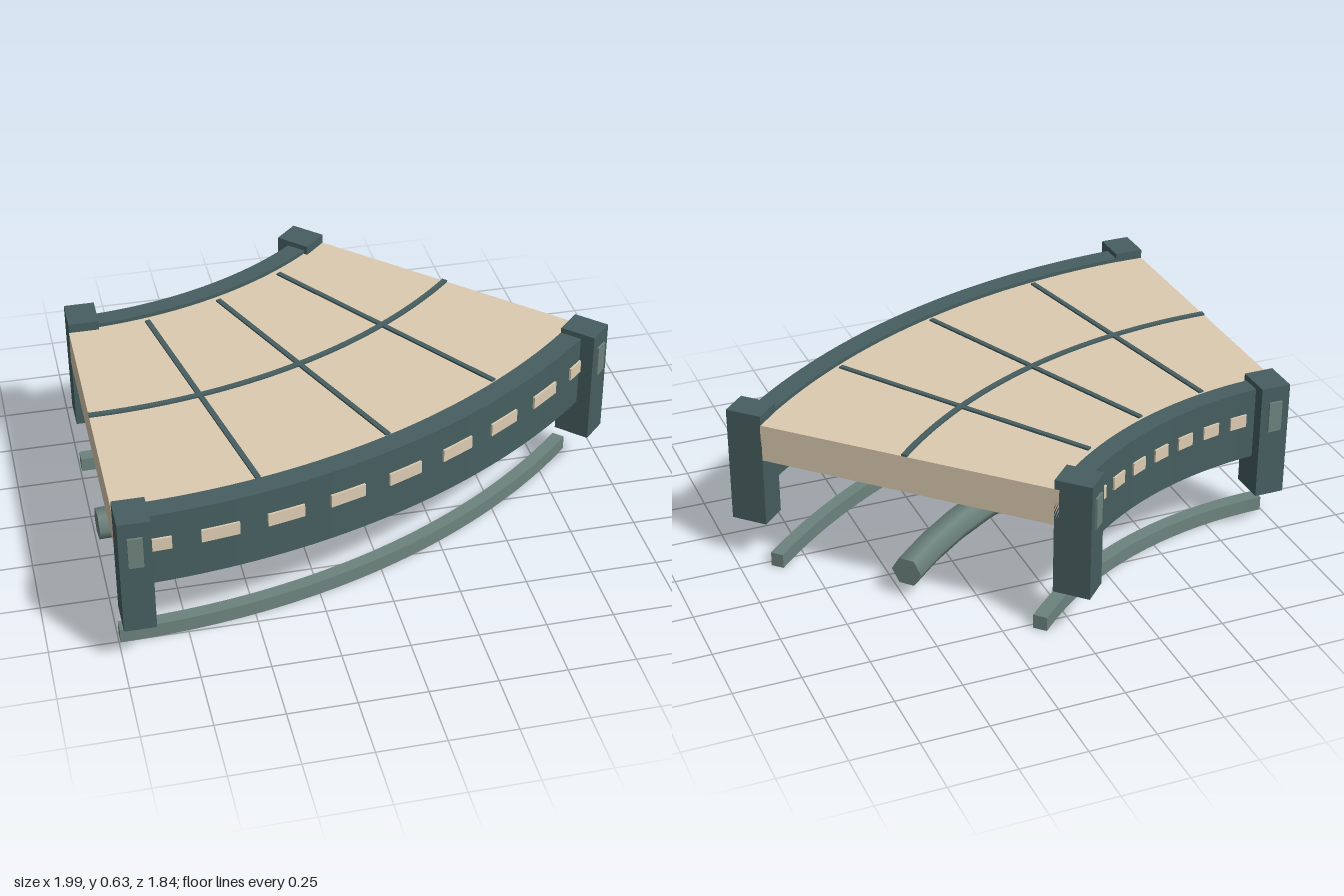
import * as THREE from 'three';

const SPAN = Math.PI / 4; // the walkway sweeps 45 degrees
const STEP = SPAN / 9;

export function createModel() {
  const model = new THREE.Group();
  model.name = 'curvedWalkway';
  // everything is laid out around the centre of the curve
  const curve = new THREE.Group();
  curve.name = 'curvedSection';
  curve.position.set(-0.995, 0, -1.906);
  model.add(curve);

  const mat = (name, color) => {
    const m = new THREE.MeshStandardMaterial({ color });
    m.name = name;
    return m;
  };
  const teal = mat('darkTeal', 0x465e60);
  const beige = mat('sandBeige', 0xdccbb1);
  const sage = mat('greyGreen', 0x6d837d);

  const add = (name, geometry, material, parent = curve) => {
    const mesh = new THREE.Mesh(geometry, material);
    mesh.name = name;
    parent.add(mesh);
    return mesh;
  };

  // bar of rectangular section swept along the curve
  const arcBar = (name, r0, r1, y0, y1, material, segments = 18) => {
    const a0 = -Math.PI / 2, a1 = a0 + SPAN;
    const shape = new THREE.Shape();
    shape.absarc(0, 0, r1, a0, a1, false);
    shape.absarc(0, 0, r0, a1, a0, true);
    const geo = new THREE.ExtrudeGeometry(shape, { depth: y1 - y0, bevelEnabled: false, curveSegments: segments });
    geo.rotateX(-Math.PI / 2);
    geo.translate(0, y0, 0);
    return add(name, geo, material);
  };

  // group turned so that its +z points outward at the given angle
  const spoke = (name, angle) => {
    const g = new THREE.Group();
    g.name = name;
    g.rotation.y = angle;
    curve.add(g);
    return g;
  };

  const box = (name, w, h, d, x, y, z, material, parent) => {
    add(name, new THREE.BoxGeometry(w, h, d), material, parent).position.set(x, y, z);
  };

  // deck and side rails
  arcBar('deck', 1.515, 2.682, 0.45, 0.595, beige);
  arcBar('outerRail', 2.676, 2.76, 0.325, 0.61, teal);
  arcBar('innerRail', 1.446, 1.521, 0.325, 0.61, teal);

  // seams on the deck
  arcBar('deckCurvedSeam', 2.091, 2.113, 0.594, 0.603, teal);
  for (let i = 1; i <= 3; i++) {
    const g = spoke('deckSeam' + i, (SPAN * i) / 4);
    box('deckStraightSeam', 0.02, 0.008, 1.11, 0, 0.598, 2.103, teal, g);
  }

  // row of lights on the outside of both rails
  for (let i = 0; i < 9; i++) {
    const g = spoke('railLights' + i, STEP * (i + 0.5));
    box('outerRailLight', 0.138, 0.05, 0.009, 0, 0.49, 2.763, beige, g);
    box('innerRailLight', 0.07, 0.05, 0.009, 0, 0.49, 1.443, beige, g);
  }

  // corner posts with a plate on the outward face
  for (const [name, angle, x] of [['startPosts', 0, 0.0575], ['endPosts', SPAN, -0.0575]]) {
    const g = spoke(name, angle);
    for (const [side, r, out] of [['outer', 2.743, 1], ['inner', 1.463, -1]]) {
      box(side + 'Post', 0.115, 0.456, 0.14, x, 0.403, r, teal, g);
      box(side + 'PostPlate', 0.053, 0.122, 0.009, x, 0.51, r + out * 0.0735, sage, g);
    }
  }

  // ground curbs
  arcBar('outerCurb', 2.61, 2.66, 0, 0.056, sage);
  arcBar('innerCurb', 1.552, 1.606, 0, 0.056, sage, 9);

  // central pipe made of straight six-sided lengths
  const R = 2.1;
  const pipeGeo = new THREE.CylinderGeometry(0.06, 0.06, 2 * R * Math.sin(STEP / 2) + 0.002, 6);
  pipeGeo.rotateZ(Math.PI / 2);
  for (let i = 0; i < 9; i++) {
    const g = spoke('pipeLength' + i, STEP * (i + 0.5));
    add('pipe', pipeGeo, sage, g).position.set(0, 0.112, R);
  }

  return model;
}
